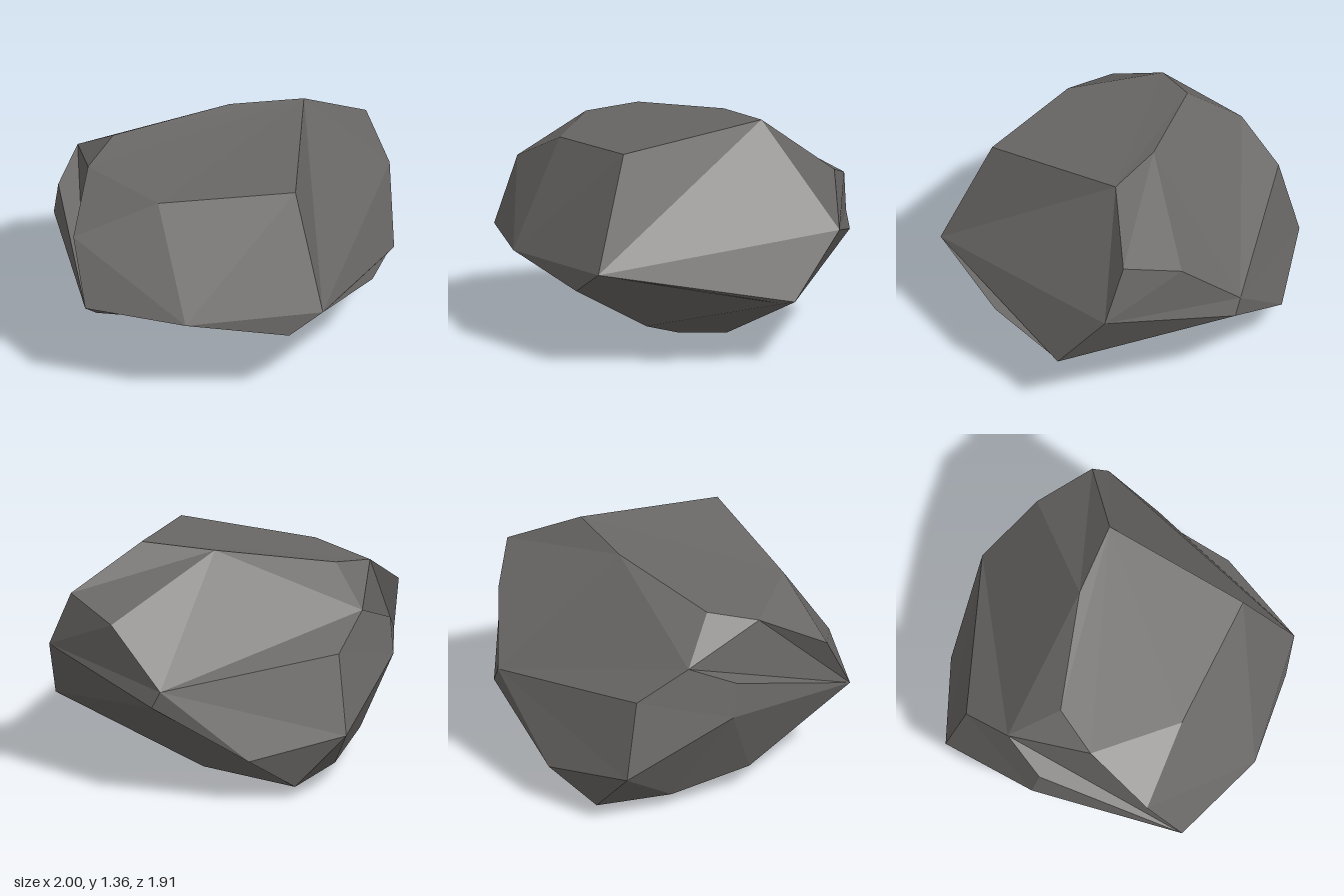
import * as THREE from 'three';

// Corners of the boulder, grouped by level
const corners = {
  // crown
  peak: [0.47, 1.36, -0.2], ridge: [0.04, 1.33, -0.25], ridgeEnd: [-0.66, 1.24, -0.15],
  rim: [-0.845, 1.185, 0.09], brow: [-0.5, 1.17, 0.54], shoulder: [0.29, 1.25, 0.67],
  hip: [0.87, 1.11, -0.43], slope: [0.62, 1.0, -0.69], dent: [-0.83, 1.035, -0.42],
  heel: [-0.71, 0.855, -0.71],
  // waist
  cheek: [-0.99, 0.95, 0.48], notch: [-0.98, 0.92, -0.18], side: [-1.0, 0.71, -0.22],
  jaw: [-0.95, 0.58, 0.68], lip: [-0.4, 0.575, 0.955], chin: [0.41, 0.59, 0.945],
  under: [0.21, 0.455, 0.955], spur: [0.78, 0.48, 0.43], nick: [0.93, 0.378, -0.01],
  elbow: [0.98, 0.39, -0.06], tip: [1.0, 0.78, -0.37], back: [0.37, 0.57, -0.92],
  backTop: [0.32, 0.67, -0.93], backSide: [-0.76, 0.39, -0.82], backLow: [-0.2, 0.265, -0.96],
  // base
  foot: [0.11, 0, -0.22], toe: [0.06, 0.04, 0.1], keel: [0.23, 0.17, 0.46],
  baseFront: [-0.79, 0.17, 0.06], baseSide: [-0.67, 0.1, -0.42], baseBack: [-0.46, 0.07, -0.81],
};

// Facets, each a ring of corners filled as a fan from its first corner
const facets = [
  // top and back slope
  'peak ridge ridgeEnd rim brow shoulder',
  'ridge peak hip slope backTop dent ridgeEnd',
  'backTop heel dent',
  // front
  'rim cheek brow',
  'lip chin shoulder brow cheek',
  'cheek jaw lip',
  'lip under chin',
  'jaw baseFront toe keel under lip',
  // left-hand chip, with its hollow under the rim
  'dent notch jaw rim ridgeEnd',
  'rim jaw cheek',
  'notch side jaw',
  'heel backSide side notch dent',
  'side backSide baseSide baseFront jaw',
  // back
  'backTop backLow backSide heel',
  'backLow baseBack backSide',
  'backTop back backLow',
  'tip back backTop slope hip',
  'tip elbow back',
  'back elbow foot baseBack backLow',
  // right-hand face and the thin spur along its lower edge
  'peak shoulder chin tip hip',
  'chin nick elbow tip',
  'chin spur nick',
  'chin nick spur',
  'keel toe foot elbow nick chin under',
  // underside
  'backSide baseBack baseSide',
  'baseBack foot toe baseFront baseSide',
];

function facetGeometry() {
  const positions = [];
  for (const facet of facets) {
    const ring = facet.split(' ').map((name) => corners[name]);
    for (let i = 1; i < ring.length - 1; i++) {
      positions.push(...ring[0], ...ring[i], ...ring[i + 1]);
    }
  }
  const geometry = new THREE.BufferGeometry();
  geometry.setAttribute('position', new THREE.Float32BufferAttribute(positions, 3));
  geometry.computeVertexNormals();
  return geometry;
}

export function createModel() {
  const stone = new THREE.MeshStandardMaterial({ color: 0x6a6866, flatShading: true });
  stone.name = 'grey stone';

  const boulder = new THREE.Mesh(facetGeometry(), stone);
  boulder.name = 'boulder';

  const group = new THREE.Group();
  group.name = 'rock';
  group.add(boulder);
  return group;
}
